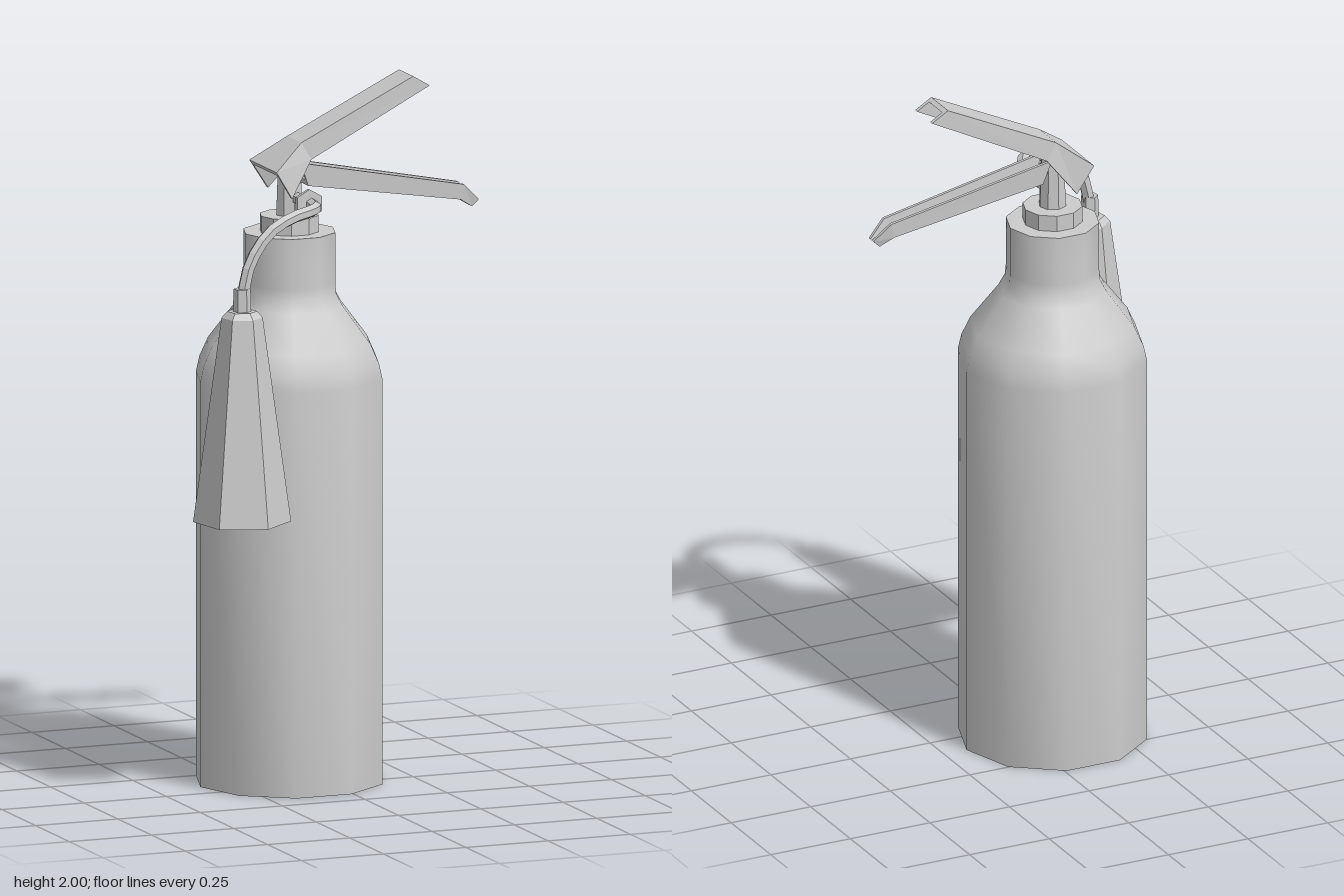
import * as THREE from 'three';
import { toCreasedNormals } from 'three/addons/utils/BufferGeometryUtils.js';

const CX = -0.09, CZ = -0.09; // bottle axis
const V = (x, y, z) => new THREE.Vector3(x, y, z);
const smooth = new THREE.MeshStandardMaterial({ color: 0xcccccc });
const flat = new THREE.MeshStandardMaterial({ color: 0xcccccc, flatShading: true });

// U-shaped channel lofted through sections: the web corner (x, y), the rim
// corner (x, y), their half widths, and the depth of the web as a share of the wall.
// side = 1 opens downwards, -1 opens upwards.
function channel(sections, t, side) {
  const pos = [], idx = [], n = 8;
  for (const { web, rim, hw, hr, f } of sections) {
    const half = [[hw, 0], [hr, 1], [hr - t, 1], [hw - t, f]];
    const ring = [...half, ...half.map(([z, v]) => [-z, v]).reverse()];
    for (const [z, v] of ring) {
      pos.push(web[0] + (rim[0] - web[0]) * v, web[1] + (rim[1] - web[1]) * v, CZ + side * z);
    }
  }
  const quad = (a, b, c, d) => idx.push(a, b, c, a, c, d);
  for (let i = 0; i < sections.length - 1; i++) {
    for (let j = 0; j < n; j++) {
      const k = (j + 1) % n, o = i * n;
      quad(o + j, o + k, o + n + k, o + n + j);
    }
  }
  const e = (sections.length - 1) * n;
  for (const [a, b, c, d] of [[0, 1, 2, 3], [0, 3, 4, 7], [4, 5, 6, 7]]) {
    quad(d, c, b, a);
    quad(e + a, e + b, e + c, e + d);
  }
  const g = new THREE.BufferGeometry();
  g.setAttribute('position', new THREE.Float32BufferAttribute(pos, 3));
  g.setIndex(idx);
  const out = g.toNonIndexed();
  out.computeVertexNormals();
  return out;
}

export function createModel() {
  const group = new THREE.Group();
  const add = (name, geometry, material = flat) => {
    const mesh = new THREE.Mesh(geometry, material);
    mesh.name = name;
    group.add(mesh);
    return mesh;
  };
  // vertical prism between two heights
  const prism = (name, x, z, rTop, rBottom, y0, y1, sides, start = Math.PI / 2) =>
    add(name, new THREE.CylinderGeometry(rTop, rBottom, y1 - y0, sides, 1, false, start))
      .position.set(x, (y0 + y1) / 2, z);

  // Ten-sided bottle with rounded shoulder and neck
  const profile = [
    [0, 0], [0.27, 0], [0.27, 1.16], [0.26, 1.205], [0.235, 1.26],
    [0.155, 1.365], [0.136, 1.4], [0.133, 1.43], [0.133, 1.575], [0, 1.575],
  ].map(([x, y]) => new THREE.Vector2(x, y));
  const bottle = new THREE.LatheGeometry(profile, 10, Math.PI / 2);
  add('bottle', toCreasedNormals(bottle, 1.1), smooth).position.set(CX, 0, CZ);

  // Valve
  prism('valveCollar', CX, CZ, 0.085, 0.085, 1.57, 1.622, 10);
  prism('valveStem', CX, CZ, 0.034, 0.04, 1.61, 1.78, 8);
  const nut = add('hoseNut', new THREE.CylinderGeometry(0.043, 0.043, 0.012, 6));
  nut.rotation.x = Math.PI / 2;
  nut.position.set(-0.08, 1.672, 0.03);

  // Hose from the valve to the horn
  const hose = new THREE.CatmullRomCurve3([
    V(-0.08, 1.672, -0.09), V(-0.08, 1.672, 0.08), V(-0.13, 1.674, 0.148),
    V(-0.2, 1.665, 0.18), V(-0.27, 1.63, 0.195), V(-0.33, 1.55, 0.204), V(-0.355, 1.45, 0.207),
  ], false, 'centripetal');
  add('hose', new THREE.TubeGeometry(hose, 14, 0.018, 6));

  // Six-sided discharge horn
  const turn = THREE.MathUtils.degToRad(70);
  prism('hornFitting', -0.355, 0.207, 0.024, 0.026, 1.41, 1.482, 6, turn);
  prism('hornCap', -0.355, 0.207, 0.042, 0.058, 1.4, 1.418, 6, turn);
  prism('horn', -0.355, 0.207, 0.058, 0.138, 0.815, 1.4, 6, turn);

  // Upper handle: downward channel with a flared rear
  add('upperHandle', channel([
    { web: [-0.17, 1.765], rim: [-0.12, 1.685], hw: 0.102, hr: 0.095, f: 0.15 },
    { web: [-0.075, 1.835], rim: [-0.045, 1.785], hw: 0.053, hr: 0.055, f: 0.25 },
    { web: [0.265, 2.0], rim: [0.315, 1.97], hw: 0.053, hr: 0.053, f: 0.25 },
  ], 0.012, 1));

  // Lower lever: narrow upward channel with a bent tip
  add('lowerLever', channel([
    { web: [-0.045, 1.705], rim: [-0.07, 1.773], hw: 0.032, hr: 0.036, f: 0.25 },
    { web: [0.42, 1.63], rim: [0.43, 1.673], hw: 0.026, hr: 0.028, f: 0.3 },
    { web: [0.46, 1.605], rim: [0.48, 1.625], hw: 0.013, hr: 0.015, f: 0.4 },
  ], 0.01, -1));

  return group;
}
